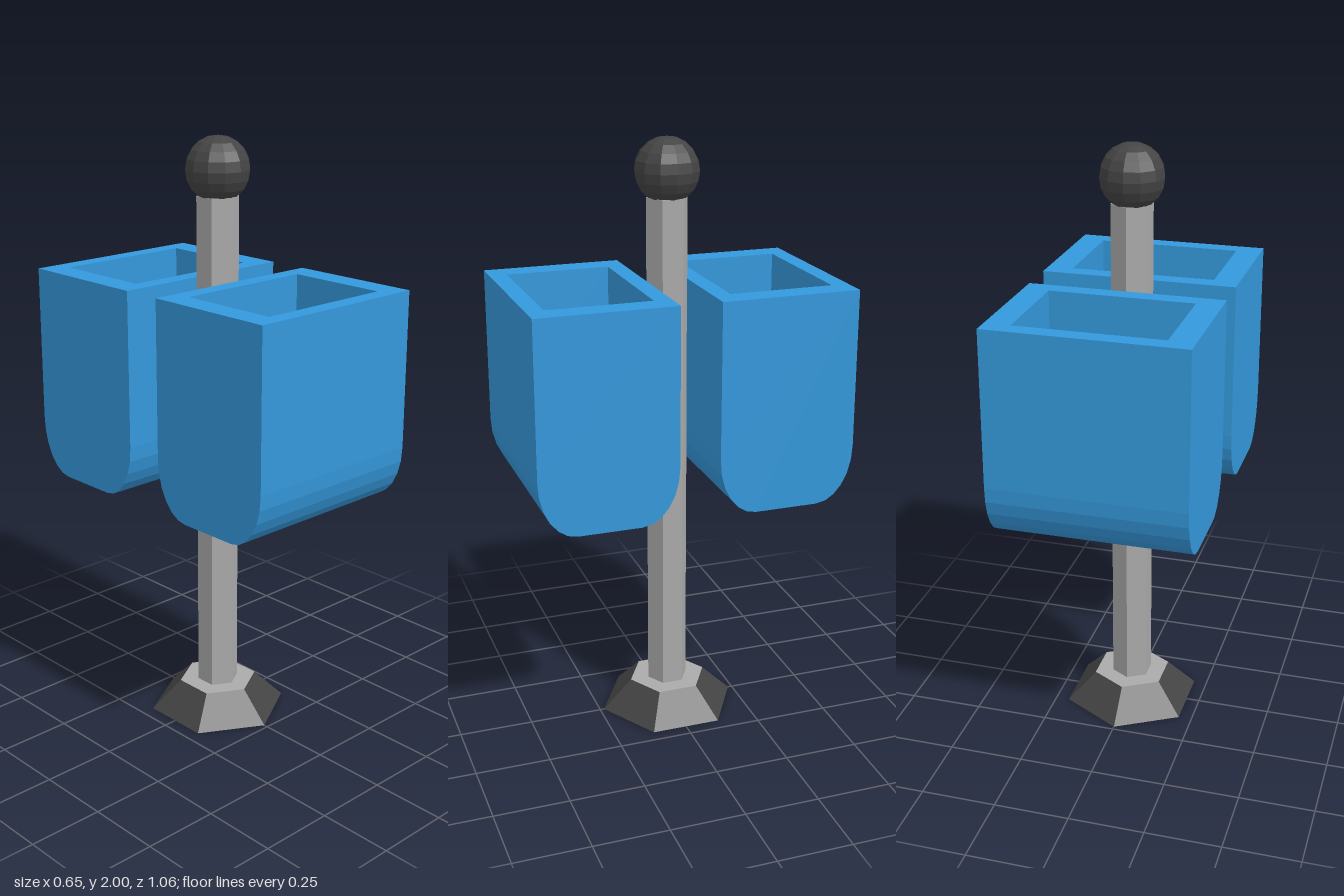
import * as THREE from 'three';

const blue = new THREE.MeshStandardMaterial({ color: 0x3498db });
blue.name = 'bucket blue';
const grey = new THREE.MeshStandardMaterial({ color: 0xaaaaaa, flatShading: true });
grey.name = 'post grey';
const dark = new THREE.MeshStandardMaterial({ color: 0x444444, flatShading: true, side: THREE.DoubleSide });
dark.name = 'dark fittings';

function mesh(name, geometry, material, y = 0) {
  const m = new THREE.Mesh(geometry, material);
  m.name = name;
  m.position.y = y;
  return m;
}

// U-shaped outline in (z, y), from one top corner down and round to the other
function outline(halfZ, top, bottom, rz, ry, steps = 6) {
  const pts = [[-halfZ, top]];
  for (const side of [-1, 1]) {
    for (let i = 0; i <= steps; i++) {
      const a = (side < 0 ? i : steps - i) / steps * Math.PI / 2;
      pts.push([side * (halfZ - rz + rz * Math.cos(a)), bottom + ry - ry * Math.sin(a)]);
    }
  }
  pts.push([halfZ, top]);
  return pts;
}

// Open-topped trough swept along x; inward turns its faces to the inside
function trough(pts, halfX, inward) {
  const pos = [];
  const tri = (a, b, c) => pos.push(...a, ...(inward ? c : b), ...(inward ? b : c));
  const at = (x, [z, y]) => [x, y, z];
  for (let i = 0; i < pts.length - 1; i++) {
    const a = pts[i], b = pts[i + 1];
    tri(at(-halfX, a), at(halfX, a), at(halfX, b));
    tri(at(-halfX, a), at(halfX, b), at(-halfX, b));
    if (i > 0) {
      tri(at(-halfX, pts[0]), at(-halfX, a), at(-halfX, b));
      tri(at(halfX, pts[0]), at(halfX, b), at(halfX, a));
    }
  }
  const g = new THREE.BufferGeometry();
  g.setAttribute('position', new THREE.Float32BufferAttribute(pos, 3));
  g.computeVertexNormals();
  return g;
}

function rectangle(target, x, y) {
  target.moveTo(-x, -y).lineTo(x, -y).lineTo(x, y).lineTo(-x, y).closePath();
  return target;
}

function bucket(name, z) {
  const group = new THREE.Group();
  group.name = name;
  const rim = rectangle(new THREE.Shape(), 0.325, 0.231);
  rim.holes.push(rectangle(new THREE.Path(), 0.24, 0.173));
  group.add(
    mesh('bucketShell', trough(outline(0.231, 1.54, 0.83, 0.125, 0.19), 0.325, false), blue),
    mesh('bucketInside', trough(outline(0.173, 1.54, 0.91, 0.09, 0.14), 0.24, true), blue),
    mesh('bucketRim', new THREE.ShapeGeometry(rim).rotateX(-Math.PI / 2), blue, 1.54),
  );
  group.position.z = z;
  return group;
}

export function createModel() {
  const model = new THREE.Group();
  model.name = 'twinBucketStand';
  const hex = (top, bottom, h, open = false) => new THREE.CylinderGeometry(top, bottom, h, 6, 1, open);

  // Hollow foot with a light top plate
  model.add(
    mesh('foot', hex(0.135, 0.236, 0.1, true), dark, 0.05),
    mesh('footTop', hex(0.135, 0.135, 0.004), grey, 0.098),
    mesh('footCeiling', hex(0.133, 0.133, 0.002), dark, 0.094),
  );

  // Hexagonal post, its lower end showing inside the foot
  model.add(
    mesh('post', hex(0.07, 0.07, 1.725), grey, 0.9475),
    mesh('postEnd', hex(0.052, 0.052, 0.004), dark, 0.084),
  );

  // Ball cut off where it meets the post
  model.add(mesh('ball',
    new THREE.SphereGeometry(0.106, 12, 8, 0, Math.PI * 2, 0, Math.PI * 0.8), dark, 1.894));

  // Buckets in front and behind
  model.add(bucket('frontBucket', 0.299), bucket('backBucket', -0.299));
  return model;
}
